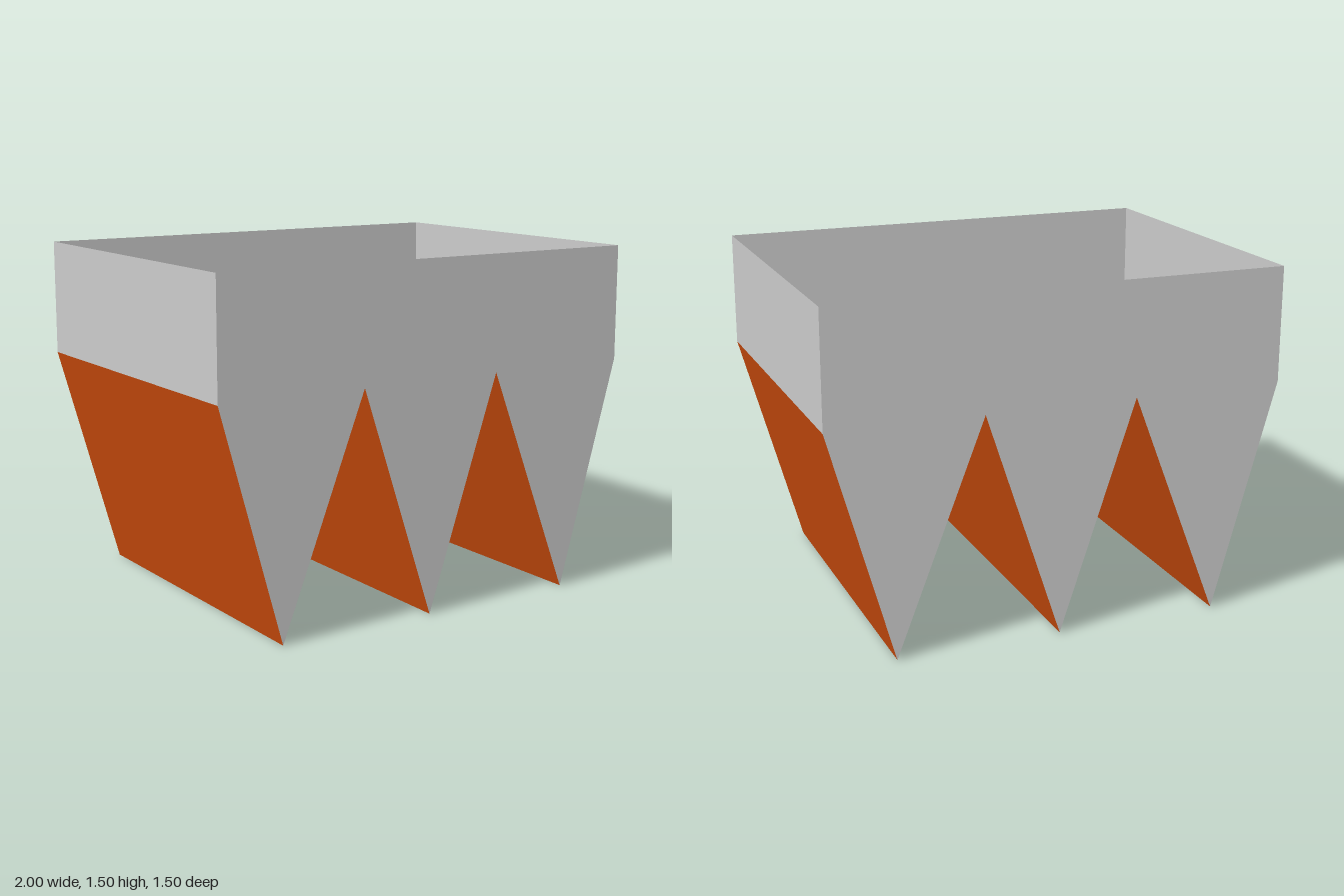
import * as THREE from 'three';

const DEPTH = 1.5, TOP = 1.5;
// Zigzag floor profile, from -x to +x
const ZIGZAG = [[-1, 1], [-0.72, 0], [-0.333, 1], [0, 0], [0.333, 1], [0.72, 0], [1, 1]];

export function createModel() {
  const model = new THREE.Group();
  model.name = 'hopperBin';
  const grey = new THREE.MeshStandardMaterial({ color: 0xcccccc, side: THREE.DoubleSide });
  const orange = new THREE.MeshStandardMaterial({ color: 0xd04e0d, side: THREE.DoubleSide });

  function add(name, geometry, material) {
    const mesh = new THREE.Mesh(geometry, material);
    mesh.name = name;
    model.add(mesh);
    return mesh;
  }

  // Flat panel running the full depth between two profile points, facing right of a -> b
  function panel(name, [ax, ay], [bx, by], material) {
    const dx = bx - ax, dy = by - ay;
    const geometry = new THREE.PlaneGeometry(DEPTH, Math.hypot(dx, dy));
    geometry.rotateY(Math.PI / 2);
    geometry.rotateZ(Math.atan2(dy, dx) - Math.PI / 2);
    geometry.translate((ax + bx) / 2, (ay + by) / 2, 0);
    add(name, geometry, material);
  }

  // Front and back walls with toothed lower edges
  const outline = [...ZIGZAG, [1, TOP], [-1, TOP]].map(([x, y]) => new THREE.Vector2(x, y));
  const wall = new THREE.ShapeGeometry(new THREE.Shape(outline));
  add('frontWall', wall, grey).position.z = DEPTH / 2;
  const back = add('backWall', wall, grey);
  back.position.z = -DEPTH / 2;
  back.rotation.y = Math.PI;

  // Upright side walls
  panel('leftWall', [1, 1], [1, TOP], grey);
  panel('rightWall', [-1, TOP], [-1, 1], grey);

  // Sloping floor panels forming three V-shaped troughs
  for (let i = 0; i < ZIGZAG.length - 1; i++) {
    panel(`slopingPanel${i + 1}`, ZIGZAG[i], ZIGZAG[i + 1], orange);
  }

  return model;
}
